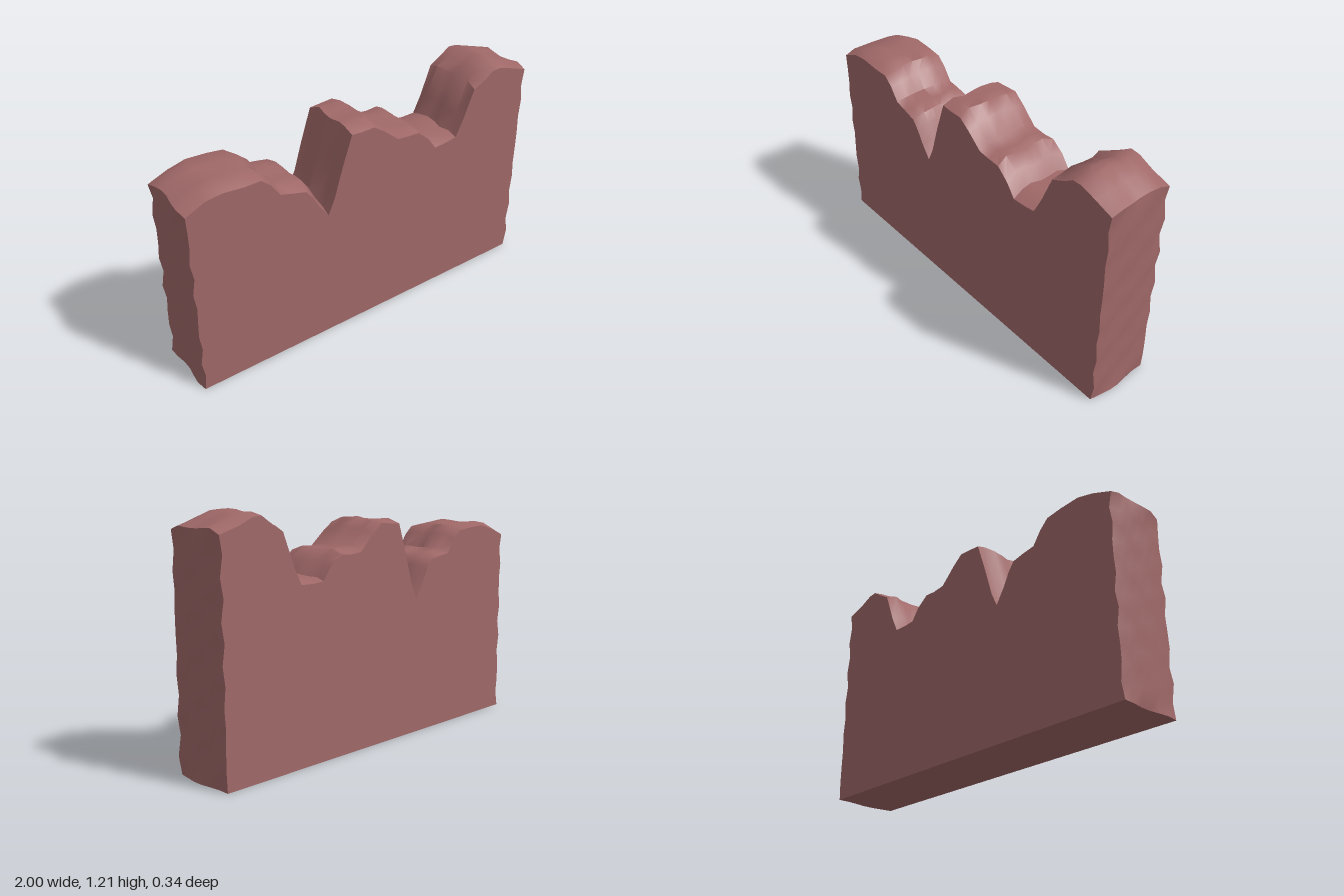
import * as THREE from 'three';
import { toCreasedNormals } from 'three/addons/utils/BufferGeometryUtils.js';

// Ragged top edge from left to right in the front view
const TOP = [
  [-0.985, 1.02], [-0.9, 1.06], [-0.81, 1.075], [-0.7, 1.07], [-0.61, 1.065], [-0.56, 1.02], [-0.51, 0.95],
  [-0.44, 0.935], [-0.37, 0.92], [-0.335, 0.875], [-0.3, 0.81], [-0.25, 0.735], [-0.215, 0.81], [-0.17, 0.96],
  [-0.115, 1.125], [-0.06, 1.125], [0.01, 1.13], [0.07, 1.085], [0.15, 1.01], [0.22, 1], [0.28, 1], [0.345, 0.95],
  [0.395, 0.885], [0.46, 0.885], [0.535, 0.89], [0.58, 0.975], [0.645, 1.13], [0.72, 1.17], [0.77, 1.205],
  [0.82, 1.205], [0.9, 1.175], [0.985, 1.14],
];
const DEPTHS = [0.171, 0.11, 0.055, 0, -0.055, -0.11, -0.171];
const SIDE_STEPS = 12;

// One slice of the wall, counterclockwise from its lower left corner
function slice(z) {
  const edge = Math.max(0, (Math.abs(z) - 0.11) / 0.061); // 1 on the front and back faces
  const side = (sign, y) => {
    const wave = 0.008 * Math.sin(y * 31 + z * 22 + sign);
    return sign * Math.min(1, 0.992 - 0.004 * edge + wave);
  };
  const points = [];
  for (let i = 0; i < SIDE_STEPS; i++) {
    const y = 1.13 * i / SIDE_STEPS;
    points.push(new THREE.Vector2(side(1, y), y));
  }
  for (let i = TOP.length - 1; i >= 0; i--) {
    const [x, y] = TOP[i];
    const end = i === 0 || i === TOP.length - 1;
    const px = end ? side(Math.sign(x), y) : x + 0.008 * Math.sin(z * 38 + x * 5);
    points.push(new THREE.Vector2(px, y - 0.02 * edge + 0.005 * Math.sin(z * 25 + x * 17)));
  }
  for (let i = SIDE_STEPS - 1; i >= 0; i--) {
    const y = i / SIDE_STEPS;
    points.push(new THREE.Vector2(side(-1, y), y));
  }
  return points;
}

export function createModel() {
  const slices = DEPTHS.map(slice);
  const n = slices[0].length, last = (DEPTHS.length - 1) * n;
  const positions = [], index = [];
  slices.forEach((ring, j) => ring.forEach((p) => positions.push(p.x, p.y, DEPTHS[j])));

  // Skin around the top, ends and underside
  for (let j = 0; j < DEPTHS.length - 1; j++) {
    for (let i = 0; i < n; i++) {
      const a = j * n + i, b = j * n + (i + 1) % n;
      index.push(a, a + n, b + n, a, b + n, b);
    }
  }
  // Flat front and back faces
  for (const [a, b, c] of THREE.ShapeUtils.triangulateShape(slices[0], [])) index.push(a, b, c);
  for (const [a, b, c] of THREE.ShapeUtils.triangulateShape(slices[slices.length - 1], [])) {
    index.push(last + a, last + c, last + b);
  }

  const geometry = new THREE.BufferGeometry();
  geometry.setAttribute('position', new THREE.Float32BufferAttribute(positions, 3));
  geometry.setIndex(index);

  const wall = new THREE.Mesh(
    toCreasedNormals(geometry, 0.75),
    new THREE.MeshStandardMaterial({ color: 0xa06868 }),
  );
  wall.name = 'brokenWall';
  const group = new THREE.Group();
  group.name = 'ruinedWall';
  group.add(wall);
  return group;
}
